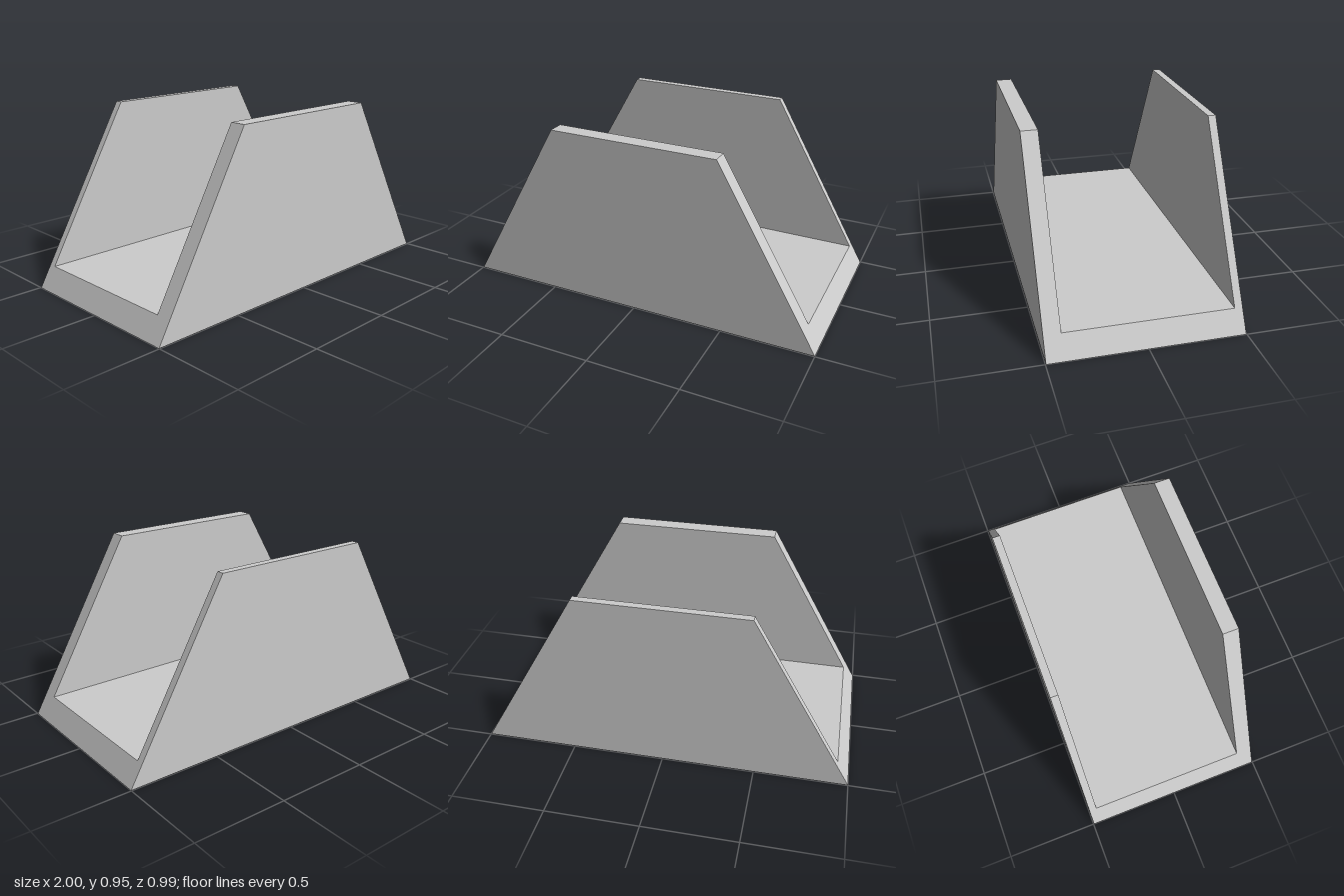
import * as THREE from 'three';

export function createModel() {
  const group = new THREE.Group();
  group.name = 'holder';
  const grey = new THREE.MeshStandardMaterial({ color: 0xcccccc });
  grey.name = 'light grey';

  const height = 0.95, floorY = 0.115, halfDepth = 0.497;
  const frontInner = 0.41, backInner = -0.456;
  const baseHalf = 1, topHalf = 0.455;

  // U-shaped section: thick front wall, floor, thin back wall (shape x = -z)
  const section = new THREE.Shape([
    [-halfDepth, 0], [halfDepth, 0], [halfDepth, height], [-backInner, height],
    [-backInner, floorY], [-frontInner, floorY], [-frontInner, height], [-halfDepth, height],
  ].map(([x, y]) => new THREE.Vector2(x, y)));

  // Run the section along x, then taper its ends inward with height
  const geometry = new THREE.ExtrudeGeometry(section, { depth: 2, bevelEnabled: false });
  geometry.translate(0, 0, -1).rotateY(Math.PI / 2);
  const pos = geometry.attributes.position;
  for (let i = 0; i < pos.count; i++) {
    const halfWidth = THREE.MathUtils.lerp(baseHalf, topHalf, pos.getY(i) / height);
    pos.setX(i, Math.sign(pos.getX(i)) * halfWidth);
  }
  geometry.computeVertexNormals();

  const body = new THREE.Mesh(geometry, grey);
  body.name = 'wallsAndFloor';
  group.add(body);
  return group;
}
